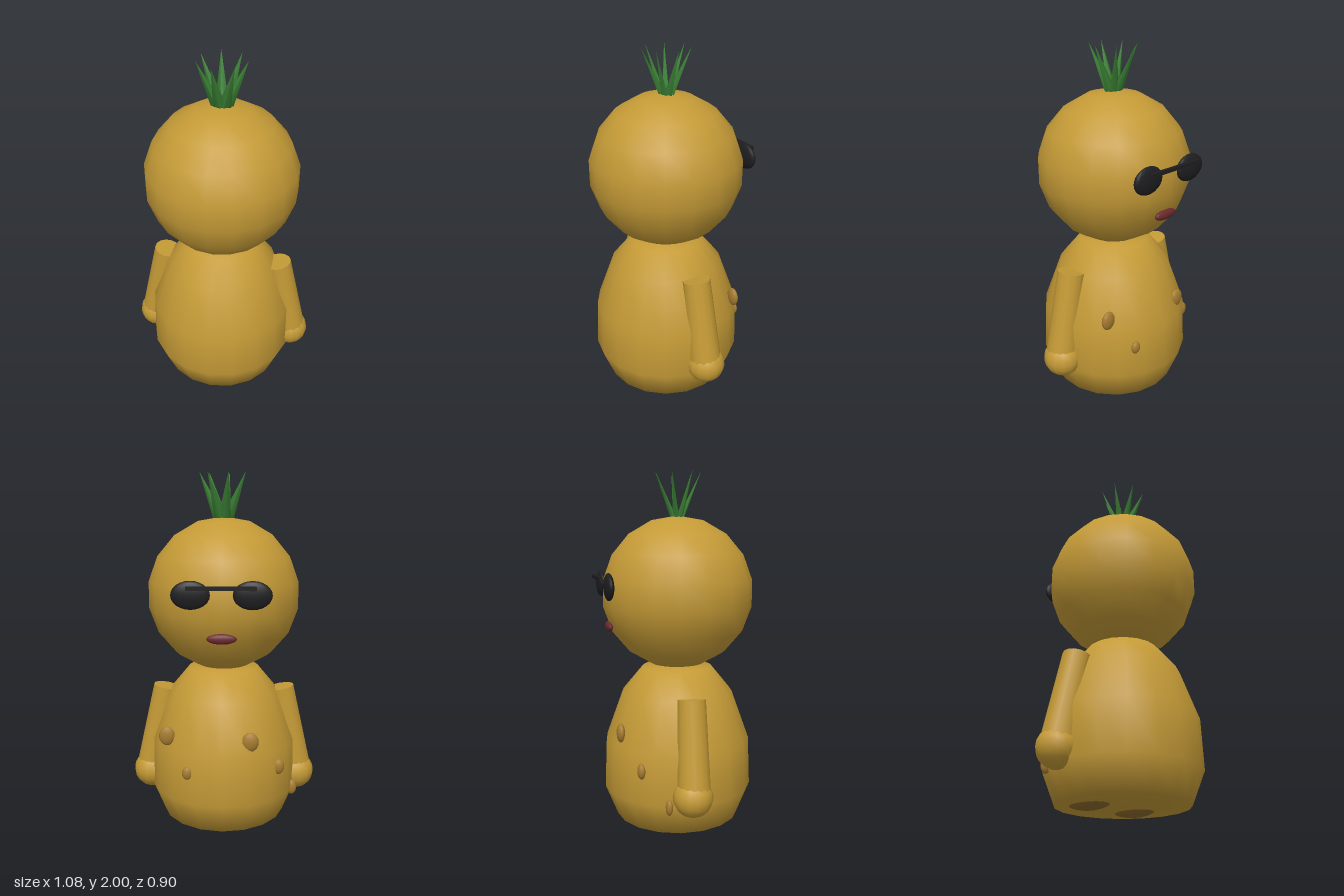
import * as THREE from 'three';

const mat = (name, color, extra = {}) => {
  const m = new THREE.MeshStandardMaterial({ color, ...extra });
  m.name = name;
  return m;
};

export function createModel() {
  const skin = mat('golden skin', 0xc49a36);
  const spot = mat('brown spots', 0xa67c30);
  const sole = mat('dark brown feet', 0x8c6a2a);
  const leaf = mat('leaf green', 0x3a8034);
  const black = mat('glasses black', 0x1e1e20);
  const red = mat('mouth red', 0x6b2a2e);

  const model = new THREE.Group();
  model.name = 'fruitFigure';
  const add = (name, geometry, material, x = 0, y = 0, z = 0) => {
    const mesh = new THREE.Mesh(geometry, material);
    mesh.name = name;
    mesh.position.set(x, y, z);
    model.add(mesh);
    return mesh;
  };
  const blob = (name, material, [x, y, z], [rx, ry, rz], w = 18, h = 12) =>
    add(name, new THREE.SphereGeometry(1, w, h).scale(rx, ry, rz), material, x, y, z);

  // Body: bell-shaped lathe with a flat base
  const profile = [[0, 0.022], [0.36, 0.022], [0.431, 0.2], [0.42, 0.48], [0.32, 0.755], [0.2, 0.9], [0, 0.915]];
  add('body', new THREE.LatheGeometry(profile.map(([r, y]) => new THREE.Vector2(r, y)), 18), skin, 0, 0, 0.016);

  // Head: coarse smooth sphere
  add('head', new THREE.SphereGeometry(0.433, 18, 9).rotateY(Math.PI / 2), skin, 0, 1.325, 0.016);

  // Arms, hands, feet and lenses, mirrored
  for (const [side, s] of [['left', 1], ['right', -1]]) {
    const top = new THREE.Vector3(s * 0.335, 0.775, 0.015);
    const end = new THREE.Vector3(s * 0.432, 0.28, 0.005);
    const axis = top.clone().sub(end);
    const arm = add(side + 'Arm', new THREE.CylinderGeometry(0.078, 0.092, axis.length(), 14), skin);
    arm.position.copy(top).add(end).multiplyScalar(0.5);
    arm.quaternion.setFromUnitVectors(new THREE.Vector3(0, 1, 0), axis.normalize());

    blob(side + 'Hand', skin, [s * 0.43, 0.258, 0], [0.11, 0.108, 0.11], 14, 10);
    blob(side + 'Foot', sole, [s * 0.16, 0.04, -0.065], [0.1, 0.04, 0.14]);
    blob(side + 'Lens', black, [s * 0.16, 1.375, -0.4], [0.102, 0.075, 0.027]);
  }

  // Glasses bar and mouth
  add('glassesBar', new THREE.BoxGeometry(0.36, 0.02, 0.02), black, 0, 1.415, -0.44);
  blob('mouth', red, [0, 1.142, -0.38], [0.08, 0.028, 0.02]);

  // Spots on the belly
  const spots = [
    [[0.31, 0.56, -0.26], [0.045, 0.055, 0.022]],
    [[-0.155, 0.56, -0.345], [0.047, 0.055, 0.024]],
    [[-0.315, 0.385, -0.26], [0.034, 0.045, 0.022]],
    [[-0.402, 0.2, -0.125], [0.03, 0.045, 0.02]],
    [[0.19, 0.38, -0.358], [0.03, 0.038, 0.02]],
  ];
  spots.forEach(([p, r], i) => blob('spot' + (i + 1), spot, p, r, 12, 8));

  // Crown: seven flattened spikes leaning outwards
  for (let i = 0; i < 7; i++) {
    const a = (i / 7) * Math.PI * 2;
    const g = new THREE.ConeGeometry(0.038, 0.26, 4).scale(1, 1, 0.5);
    const p = g.attributes.position;
    for (let k = 0; k < p.count; k++) {
      const lean = 0.02 + 0.115 * (p.getY(k) / 0.26 + 0.5);
      p.setX(k, p.getX(k) + Math.cos(a) * lean);
      p.setZ(k, p.getZ(k) + Math.sin(a) * lean);
    }
    g.computeVertexNormals();
    add('crownLeaf' + (i + 1), g, leaf, 0, 1.87, 0.015);
  }
  return model;
}
